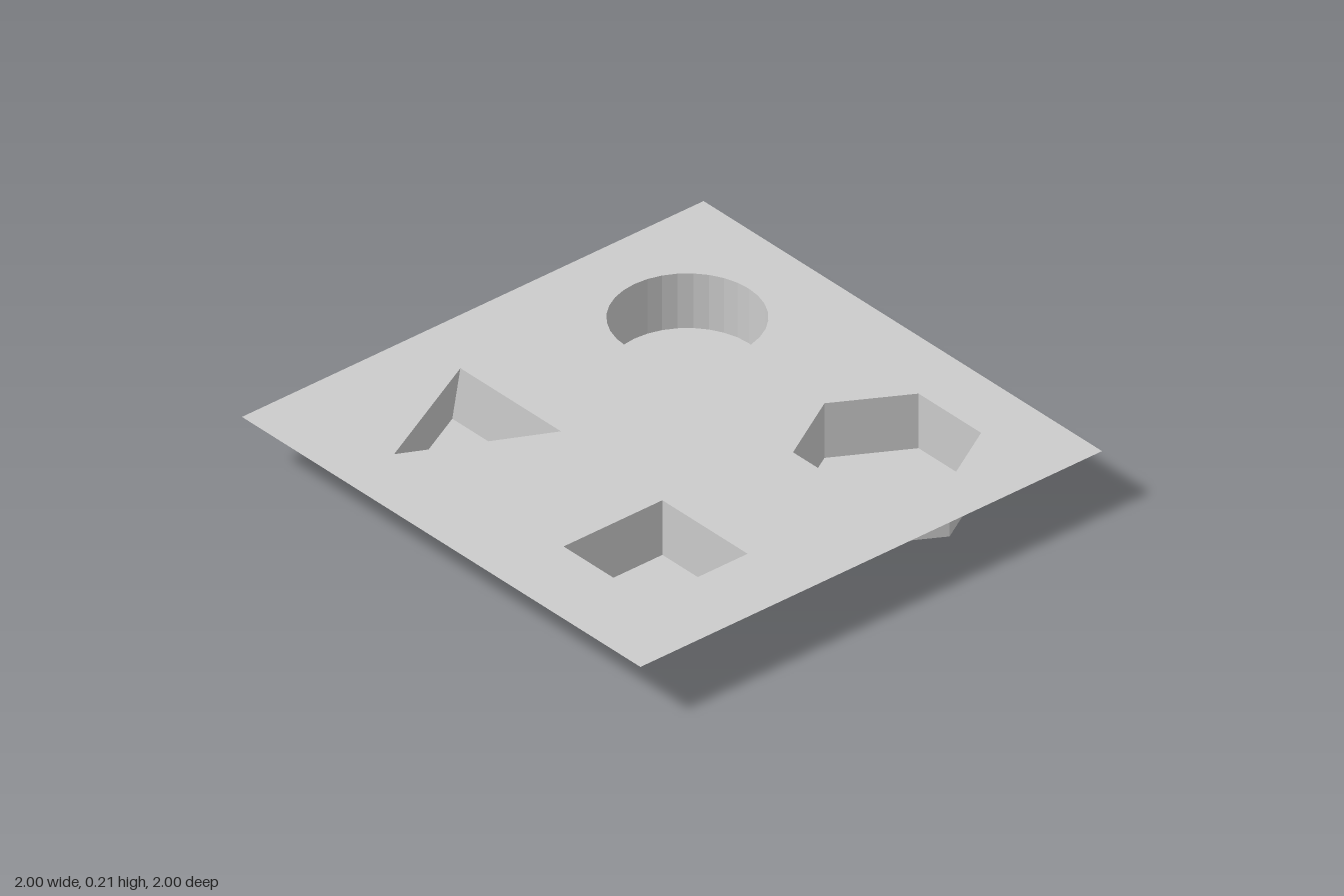
import * as THREE from 'three';

const HEIGHT = 0.213;
const material = new THREE.MeshStandardMaterial({ color: 0xcccccc, flatShading: true, side: THREE.DoubleSide });

// Outline of a regular polygon as [x, z] corners
function polygon(cx, cz, radius, sides, turn = 0) {
  return Array.from({ length: sides }, (_, i) => {
    const a = turn + (i / sides) * Math.PI * 2;
    return [cx + radius * Math.cos(a), cz + radius * Math.sin(a)];
  });
}

// Flat horizontal sheet from an [x, z] outline with optional holes
function sheet(name, outline, y, holes = []) {
  const points = (loop) => loop.map(([x, z]) => new THREE.Vector2(x, -z));
  const shape = new THREE.Shape(points(outline));
  for (const hole of holes) shape.holes.push(new THREE.Path(points(hole)));
  const geometry = new THREE.ShapeGeometry(shape);
  geometry.rotateX(-Math.PI / 2).translate(0, y, 0);
  const mesh = new THREE.Mesh(geometry, material);
  mesh.name = name;
  return mesh;
}

// Thin wall joining the rim of a well to its floor
function wall(name, rim, floor) {
  const positions = [];
  rim.forEach(([x, z], i) => {
    const j = (i + 1) % rim.length;
    const a = [x, HEIGHT, z];
    const b = [rim[j][0], HEIGHT, rim[j][1]];
    const c = [floor[j][0], 0, floor[j][1]];
    const d = [floor[i][0], 0, floor[i][1]];
    positions.push(...a, ...b, ...c, ...a, ...c, ...d);
  });
  const geometry = new THREE.BufferGeometry();
  geometry.setAttribute('position', new THREE.Float32BufferAttribute(positions, 3));
  geometry.computeVertexNormals();
  const mesh = new THREE.Mesh(geometry, material);
  mesh.name = name;
  return mesh;
}

export function createModel() {
  const model = new THREE.Group();
  model.name = 'shapeTray';

  // Rims of the four wells; the triangular one leans backwards
  const wells = [
    { name: 'triangleWell', rim: [[-0.265, -0.755], [-0.265, -0.25], [-0.77, -0.503]], lean: [-0.004, -0.036] },
    { name: 'squareWell', rim: polygon(-0.5, 0.497, 0.214 * Math.SQRT2, 4, Math.PI / 4) },
    { name: 'roundWell', rim: polygon(0.5, -0.502, 0.266, 32) },
    { name: 'hexagonWell', rim: polygon(0.5, 0.5, 0.314, 6, Math.PI / 6) },
  ];

  for (const { name, rim, lean = [0, 0] } of wells) {
    const floor = rim.map(([x, z]) => [x + lean[0], z + lean[1]]);
    const well = new THREE.Group();
    well.name = name;
    well.add(wall('wall', rim, floor), sheet('floor', floor, 0));
    model.add(well);
  }

  // Top sheet in two halves meeting along the centre seam
  const half = (x0, x1) => [[x0, -1], [x0, 1], [x1, 1], [x1, -1]];
  const rims = wells.map((w) => w.rim);
  model.add(
    sheet('rightTop', half(-1, 0), HEIGHT, rims.slice(0, 2)),
    sheet('leftTop', half(0, 1), HEIGHT, rims.slice(2)),
  );
  return model;
}
